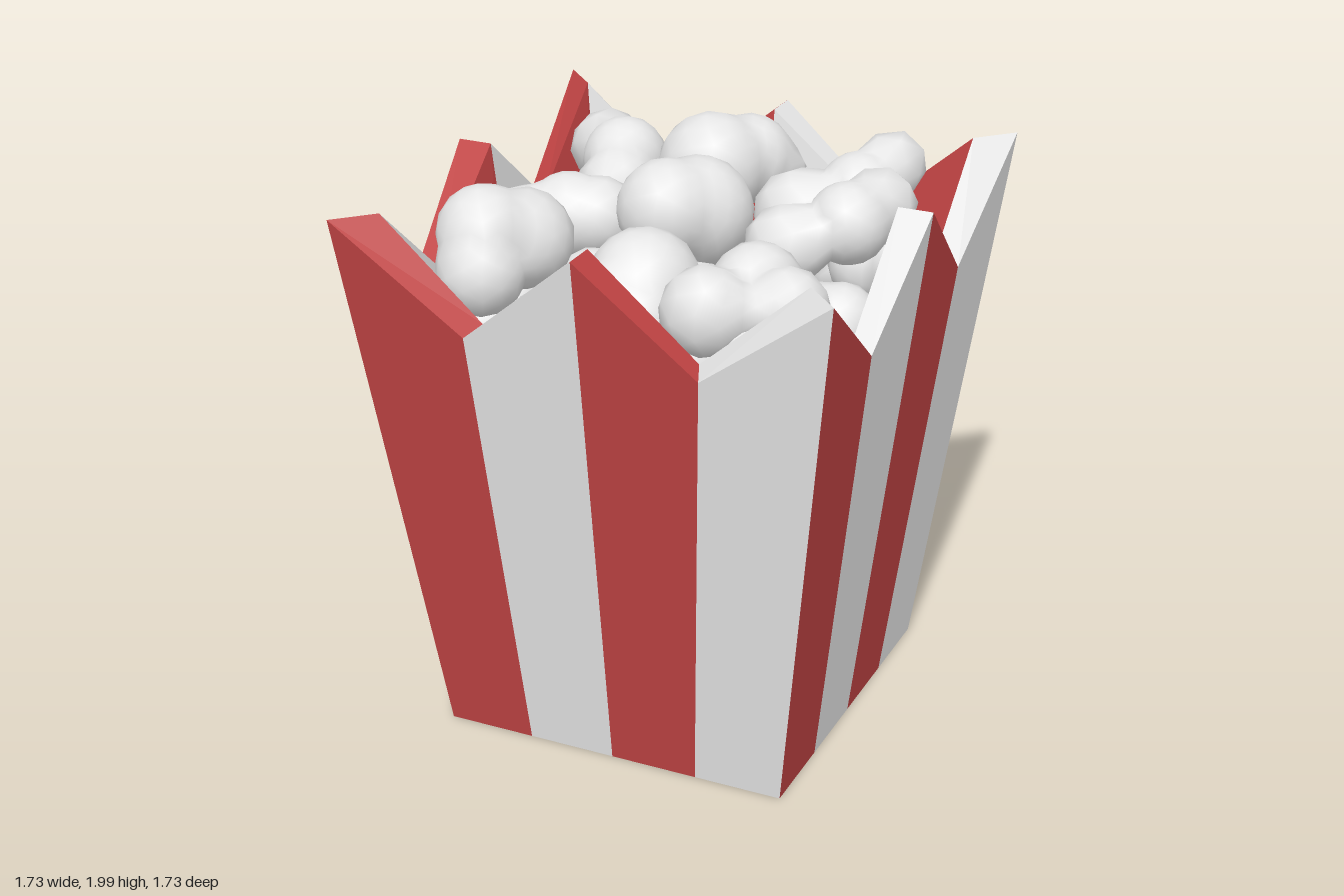
import * as THREE from 'three';
import { mergeVertices } from 'three/addons/utils/BufferGeometryUtils.js';

const white = new THREE.MeshStandardMaterial({ color: 0xe7e7e7 });
white.name = 'white';
const red = new THREE.MeshStandardMaterial({ color: 0xbf4343 });
red.name = 'red';
const cream = new THREE.MeshStandardMaterial({ color: 0xe7e7e7 });
cream.name = 'popcorn';

// Flat quads, corners counter-clockwise seen from the front
function quads(list) {
  const pos = [];
  for (const [a, b, c, d] of list) pos.push(...a, ...b, ...c, ...a, ...c, ...d);
  const geo = new THREE.BufferGeometry();
  geo.setAttribute('position', new THREE.Float32BufferAttribute(pos, 3));
  geo.computeVertexNormals();
  return geo;
}

// One vertical stripe: outer face, slanted rim and inner face
function stripe(i) {
  const column = (k) => {
    const u = -1 + k / 2;
    const valley = k % 2 === 1;
    return {
      base: [u * 0.625, 0, 0.625],
      top: valley ? [u * 0.822, 1.575, 0.822] : [u * 0.866, 1.92, 0.866],
      inner: valley ? [u * 0.76, 1.6, 0.745] : [u * 0.745, 1.92, 0.745],
      floor: [u * 0.51, 0.05, 0.51],
    };
  };
  const l = column(i), r = column(i + 1);
  return quads([
    [l.base, r.base, r.top, l.top],
    [l.top, r.top, r.inner, l.inner],
    [l.inner, r.inner, r.floor, l.floor],
  ]);
}

// Popcorn piece: a ball pushed out to the hull of several round lobes [x, y, z, radius]
function kernel(lobes) {
  const centre = new THREE.Vector3();
  let weight = 0;
  for (const [x, y, z, r] of lobes) {
    centre.add(new THREE.Vector3(x, y, z).multiplyScalar(r));
    weight += r;
  }
  centre.divideScalar(weight);

  let geo = new THREE.IcosahedronGeometry(1, 3);
  geo.deleteAttribute('normal');
  geo.deleteAttribute('uv');
  geo = mergeVertices(geo, 1e-4);
  const pos = geo.attributes.position;
  const dir = new THREE.Vector3(), off = new THREE.Vector3();
  for (let i = 0; i < pos.count; i++) {
    dir.fromBufferAttribute(pos, i).normalize();
    let reach = 0.07;
    for (const [x, y, z, r] of lobes) {
      off.set(x, y, z).sub(centre);
      const along = off.dot(dir);
      const disc = along * along - off.lengthSq() + r * r;
      if (disc > 0) reach = Math.max(reach, along + Math.sqrt(disc));
    }
    pos.setXYZ(i, dir.x * reach, dir.y * reach, dir.z * reach);
  }
  geo.computeVertexNormals();
  const mesh = new THREE.Mesh(geo, cream);
  mesh.position.copy(centre);
  return mesh;
}

// Visible heap, back row to front row
const topLayer = [
  [[-0.58, 1.75, -0.58, 0.14], [-0.46, 1.76, -0.47, 0.15], [-0.41, 1.7, -0.3, 0.15]],
  [[-0.1, 1.8, -0.42, 0.19], [-0.02, 1.79, -0.57, 0.16], [0.07, 1.74, -0.63, 0.1]],
  [[0.5, 1.83, -0.62, 0.12], [0.44, 1.76, -0.47, 0.15], [0.26, 1.7, -0.35, 0.16]],
  [[-0.55, 1.68, 0.11, 0.15], [-0.43, 1.72, 0.03, 0.15], [-0.33, 1.72, 0, 0.14]],
  [[0.02, 1.78, -0.04, 0.19], [-0.04, 1.82, 0.08, 0.17]],
  [[0.6, 1.83, -0.22, 0.13], [0.55, 1.81, -0.07, 0.14], [0.38, 1.75, 0.06, 0.14]],
  [[-0.42, 1.76, 0.38, 0.17], [-0.5, 1.81, 0.5, 0.16], [-0.48, 1.7, 0.57, 0.15]],
  [[0.02, 1.67, 0.38, 0.19], [-0.03, 1.64, 0.52, 0.14], [0.08, 1.62, 0.53, 0.12]],
  [[0.4, 1.7, 0.34, 0.16], [0.55, 1.7, 0.45, 0.14], [0.32, 1.7, 0.57, 0.15]],
];

// Lower heap centres, seen through the gaps
const lowerLayer = [
  [-0.58, -0.14], [-0.22, -0.18], [0.23, -0.52], [0.22, -0.12], [0.57, -0.36],
  [0.56, 0.2], [-0.3, 0.22], [-0.26, 0.54], [0.02, 0.55], [0.54, 0.53],
  [-0.52, -0.5], [-0.15, -0.55], [0.2, 0.25], [-0.54, 0.42], [0.27, 0.52],
];

export function createModel() {
  const model = new THREE.Group();
  model.name = 'popcornBucket';

  // Four striped walls
  for (let side = 0; side < 4; side++) {
    const wall = new THREE.Group();
    wall.name = 'wall' + (side + 1);
    for (let i = 0; i < 4; i++) {
      const mesh = new THREE.Mesh(stripe(i), i % 2 ? white : red);
      mesh.name = i % 2 ? 'whiteStripe' : 'redStripe';
      wall.add(mesh);
    }
    wall.rotation.y = side * Math.PI / 2;
    model.add(wall);
  }

  // Bottom, with the inside floor above it
  const b = 0.625, f = 0.51;
  const bottom = new THREE.Mesh(quads([
    [[-b, 0, -b], [b, 0, -b], [b, 0, b], [-b, 0, b]],
    [[-f, 0.05, f], [f, 0.05, f], [f, 0.05, -f], [-f, 0.05, -f]],
  ]), white);
  bottom.name = 'bottom';
  model.add(bottom);

  // Popcorn heap
  const heap = new THREE.Group();
  heap.name = 'popcorn';
  topLayer.forEach((lobes) => heap.add(kernel(lobes)));
  lowerLayer.forEach(([x, z], i) => {
    const a = i * 2.4, dx = 0.07 * Math.cos(a), dz = 0.07 * Math.sin(a);
    const y = 1.53 + 0.04 * Math.sin(i * 1.7);
    heap.add(kernel([
      [x + dx, y, z + dz, 0.13], [x - dx, y + 0.04, z - dz, 0.12], [x - dz, y - 0.06, z + dx, 0.12],
    ]));
  });
  heap.children.forEach((mesh, i) => { mesh.name = 'kernel' + (i + 1); });
  model.add(heap);
  return model;
}
